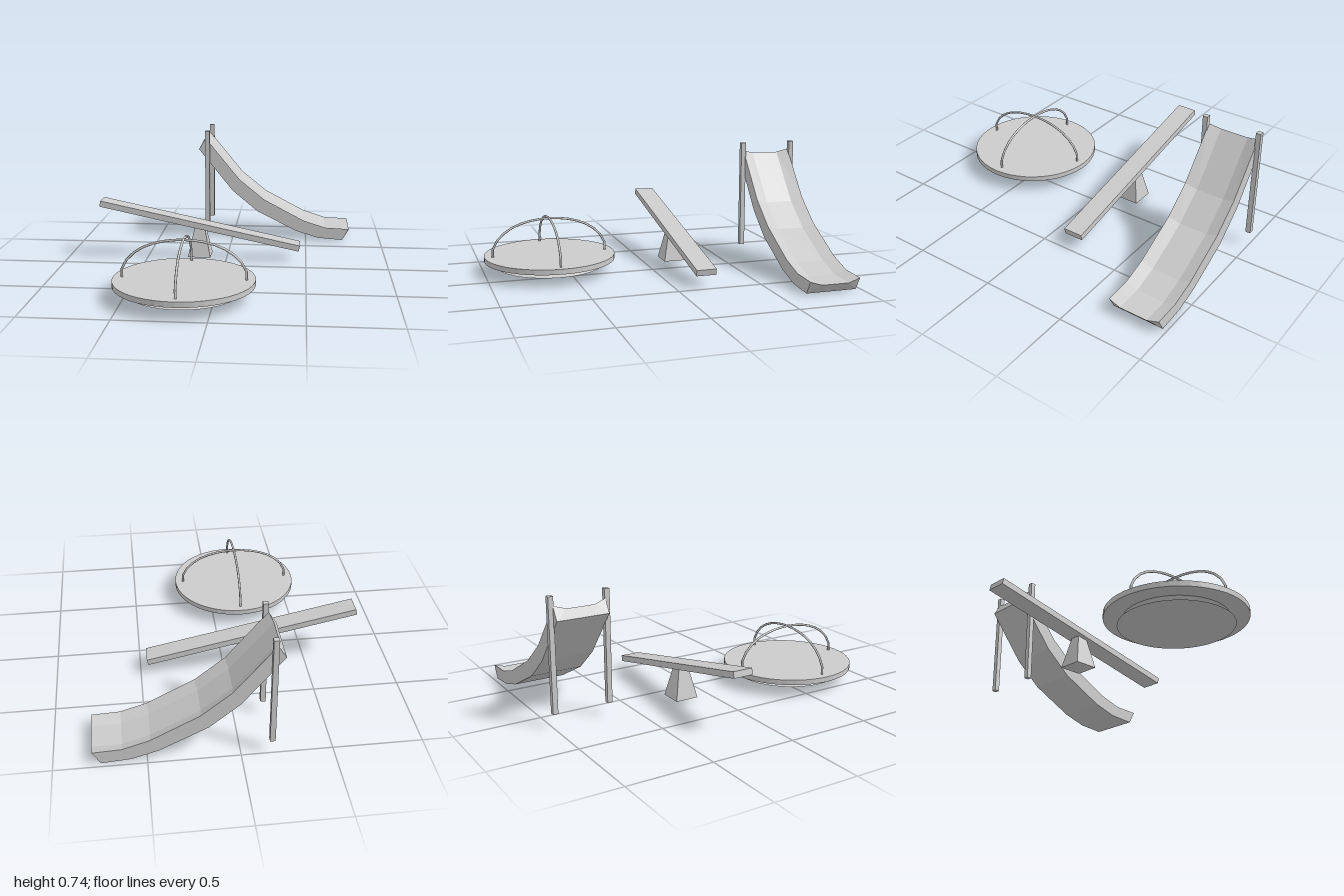
import * as THREE from 'three';

const flat = new THREE.MeshStandardMaterial({ color: 0xcccccc, flatShading: true });
const smooth = new THREE.MeshStandardMaterial({ color: 0xcccccc });

function add(parent, name, geometry, x = 0, y = 0, z = 0, material = flat) {
  const mesh = new THREE.Mesh(geometry, material);
  mesh.name = name;
  mesh.position.set(x, y, z);
  parent.add(mesh);
  return mesh;
}

// Round platform on a flared foot, with two crossing hoops
function createRoundabout() {
  const group = new THREE.Group();
  group.name = 'roundabout';
  const profile = [
    [0, 0.04], [0.32, 0.04], [0.265, 0.055], [0.29, 0.079],
    [0.395, 0.079], [0.395, 0.11], [0, 0.11],
  ].map(([r, y]) => new THREE.Vector2(r, y));
  add(group, 'platform', new THREE.LatheGeometry(profile, 48));

  const half = [[0.345, 0.1], [0.342, 0.165], [0.31, 0.216], [0.25, 0.268], [0.16, 0.307], [0.055, 0.326]];
  const points = [
    ...half.map(([x, y]) => new THREE.Vector3(-x, y, 0)),
    ...half.slice().reverse().map(([x, y]) => new THREE.Vector3(x, y, 0)),
  ];
  const hoop = new THREE.TubeGeometry(new THREE.CatmullRomCurve3(points), 16, 0.007, 8);
  add(group, 'handleHoop', hoop, 0, 0, 0, smooth);
  add(group, 'crossHandleHoop', hoop, 0, 0, 0, smooth).rotation.y = Math.PI / 2;
  group.position.set(-0.17, 0, 0.605);
  return group;
}

// Tilted plank on a square tapered pivot
function createSeesaw() {
  const group = new THREE.Group();
  group.name = 'seesaw';
  const plank = add(group, 'plank', new THREE.BoxGeometry(1.28, 0.037, 0.12), 0, 0.219, 0);
  plank.rotation.z = -0.207;
  const pivot = new THREE.CylinderGeometry(0.03 * Math.SQRT2, 0.071 * Math.SQRT2, 0.19, 4);
  pivot.rotateY(Math.PI / 4);
  add(group, 'pivot', pivot, 0, 0.115, 0);
  group.position.set(-0.168, 0, -0.18);
  return group;
}

// Chute lofted through cross-sections: underside, rim and floor at each station
function chuteGeometry() {
  const stations = [ // underside x, y; rim x, y; floor x, y
    [-0.228, 0.615, -0.183, 0.69, -0.2, 0.67],
    [0.0, 0.334, 0.048, 0.41, 0.038, 0.387],
    [0.168, 0.194, 0.215, 0.275, 0.207, 0.252],
    [0.436, 0.06, 0.483, 0.134, 0.478, 0.11],
    [0.585, 0.015, 0.632, 0.087, 0.63, 0.063],
    [0.747, 0.003, 0.79, 0.08, 0.795, 0.058],
  ];
  const position = [];
  const index = [];
  for (const [bx, by, rx, ry, fx, fy] of stations) {
    position.push(
      bx, by, 0.154, rx, ry, 0.154, fx, fy, 0.083,
      fx, fy, -0.083, rx, ry, -0.154, bx, by, -0.154,
    );
  }
  for (let s = 0; s < stations.length - 1; s++) {
    for (let i = 0; i < 6; i++) {
      const a = s * 6 + i, d = s * 6 + (i + 1) % 6;
      index.push(a, a + 6, d + 6, a, d + 6, d);
    }
  }
  const last = (stations.length - 1) * 6;
  for (const [a, b, c] of [[0, 1, 2], [0, 2, 3], [0, 3, 5], [3, 4, 5]]) {
    index.push(a, b, c, last + a, last + c, last + b);
  }
  const geometry = new THREE.BufferGeometry();
  geometry.setAttribute('position', new THREE.Float32BufferAttribute(position, 3));
  geometry.setIndex(index);
  const faceted = geometry.toNonIndexed();
  faceted.computeVertexNormals();
  return faceted;
}

// Chute held between two square posts
function createSlide() {
  const group = new THREE.Group();
  group.name = 'slide';
  add(group, 'chute', chuteGeometry());
  for (const side of [-1, 1]) {
    add(group, side > 0 ? 'frontPost' : 'backPost',
      new THREE.BoxGeometry(0.03, 0.66, 0.03), -0.169, 0.412, side * 0.165);
  }
  group.position.z = -0.82;
  return group;
}

export function createModel() {
  const model = new THREE.Group();
  model.name = 'playground';
  model.add(createRoundabout(), createSeesaw(), createSlide());
  return model;
}
